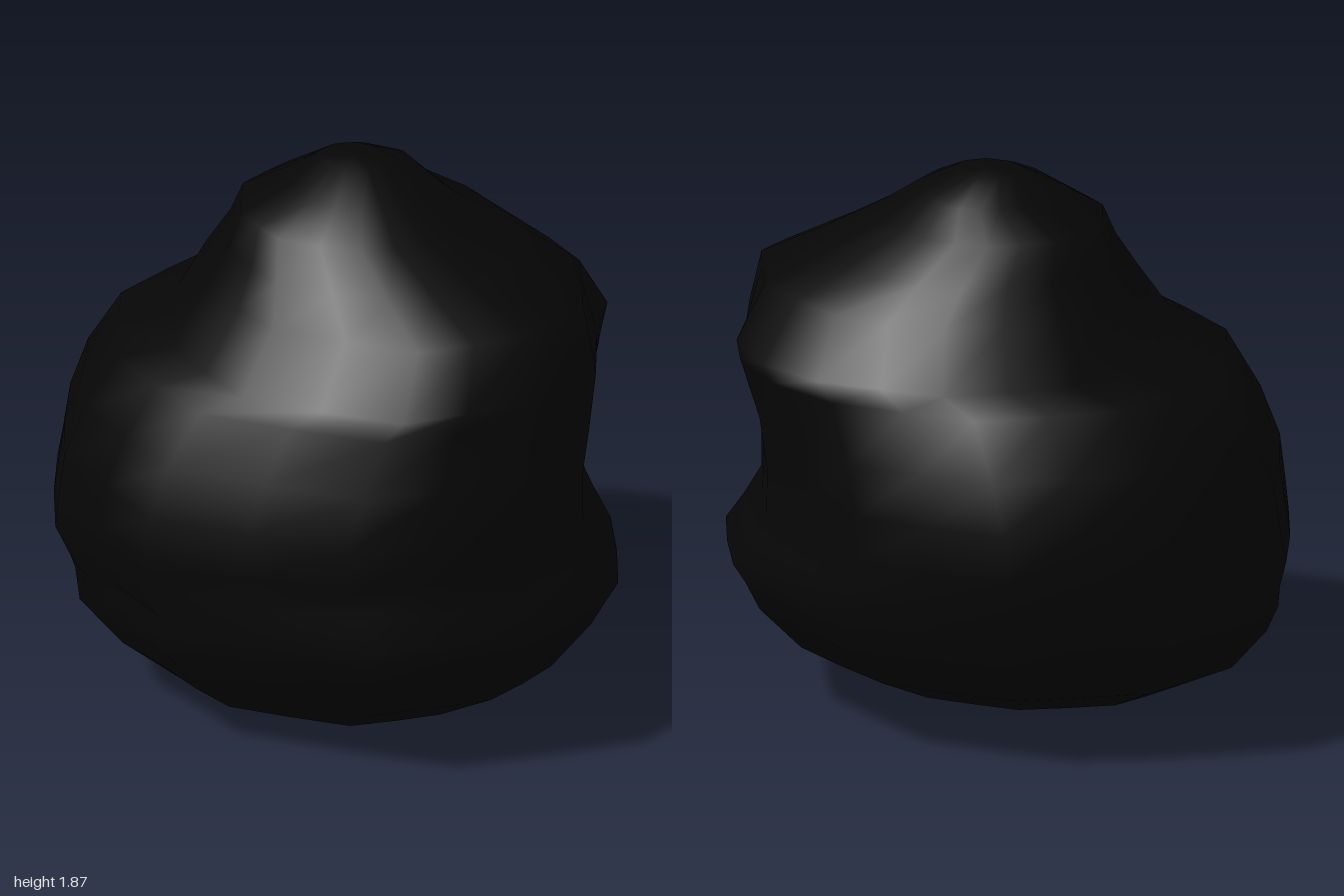
import * as THREE from 'three';

// Plan outline of the lump, scaled to fit each ring
const outline = [[1, 0.1], [0.86, 0.6], [0.4, 1], [-0.37, 0.95], [-0.83, 0.52],
  [-1, -0.1], [-0.77, -0.67], [-0.25, -1], [0.34, -0.92], [0.82, -0.46]];

// Rings from bottom to top: y, min x, max x, min z, max z
const rings = [
  [0.03, -0.25, 0.3, -0.12, 0.4], [0.09, -0.56, 0.55, -0.3, 0.57], [0.2, -0.78, 0.78, -0.54, 0.71],
  [0.36, -0.92, 0.91, -0.75, 0.83], [0.45, -0.96, 0.96, -0.79, 0.88], [0.52, -0.97, 1, -0.83, 0.89],
  [0.62, -1, 0.925, -0.86, 0.88], [0.72, -0.985, 0.86, -0.885, 0.88], [0.88, -0.96, 0.855, -0.89, 0.89],
  [1.05, -0.9, 0.88, -0.86, 0.84], [1.24, -0.78, 0.91, -0.79, 0.79], [1.3, -0.58, 0.905, -0.75, 0.75],
  [1.48, -0.48, 0.855, -0.6, 0.57], [1.6, -0.4, 0.62, -0.52, 0.46], [1.71, -0.35, 0.42, -0.38, 0.35],
  [1.8, -0.18, 0.29, -0.29, 0.23], [1.87, -0.08, 0.155, -0.14, 0.06]];

// Local bulges and grooves: angle around y, height, strength, angular spread, height spread
const bumps = [
  [2.36, 0.47, -0.14, 0.12, 0.002], // groove low on one front corner
  [2.36, 0.22, -0.05, 0.15, 0.015], // flatter underside below the groove
  [0.65, 0.88, 0.12, 0.15, 0.06], // full front flank
  [-0.8, 1.3, 0.13, 0.12, 0.015], // back shoulder
];

function swell(u, v, y) {
  const angle = Math.atan2(v, u);
  return bumps.reduce((s, [a, h, k, wa, wh]) => {
    const d = Math.atan2(Math.sin(angle - a), Math.cos(angle - a));
    return s + k * Math.exp(-d * d / wa - (y - h) ** 2 / wh);
  }, 1);
}

// Lofts the rings into one closed, smooth body
function lumpGeometry() {
  const plan = outline.flatMap((p, i) => {
    const q = outline[(i + 1) % outline.length];
    return [p, [(p[0] + q[0]) * 0.505, (p[1] + q[1]) * 0.505]];
  });
  const n = plan.length, pos = [], index = [];
  for (const [y, x0, x1, z0, z1] of rings) {
    for (const [u, v] of plan) {
      const s = swell(u, v, y);
      pos.push((x0 + x1) / 2 + u * s * (x1 - x0) / 2, y, (z0 + z1) / 2 + v * s * (z1 - z0) / 2);
    }
  }
  const bottom = pos.length / 3, top = bottom + 1, last = (rings.length - 1) * n;
  pos.push(-0.17, 0, 0.05, 0.04, 1.872, -0.04);
  for (let i = 0; i < n; i++) {
    const k = (i + 1) % n;
    for (let j = 0; j < rings.length - 1; j++) {
      const a = j * n + i, b = j * n + k;
      index.push(a, a + n, b, b, a + n, b + n);
    }
    index.push(bottom, i, k, top, last + k, last + i);
  }
  const g = new THREE.BufferGeometry();
  g.setAttribute('position', new THREE.Float32BufferAttribute(pos, 3));
  g.setIndex(index);
  g.computeVertexNormals();
  return g;
}

export function createModel() {
  const group = new THREE.Group();
  group.name = 'coalLump';
  const coal = new THREE.MeshStandardMaterial({ color: 0x060606 });
  coal.name = 'coal black';
  const lump = new THREE.Mesh(lumpGeometry(), coal);
  lump.name = 'lumpBody';
  group.add(lump);
  return group;
}
